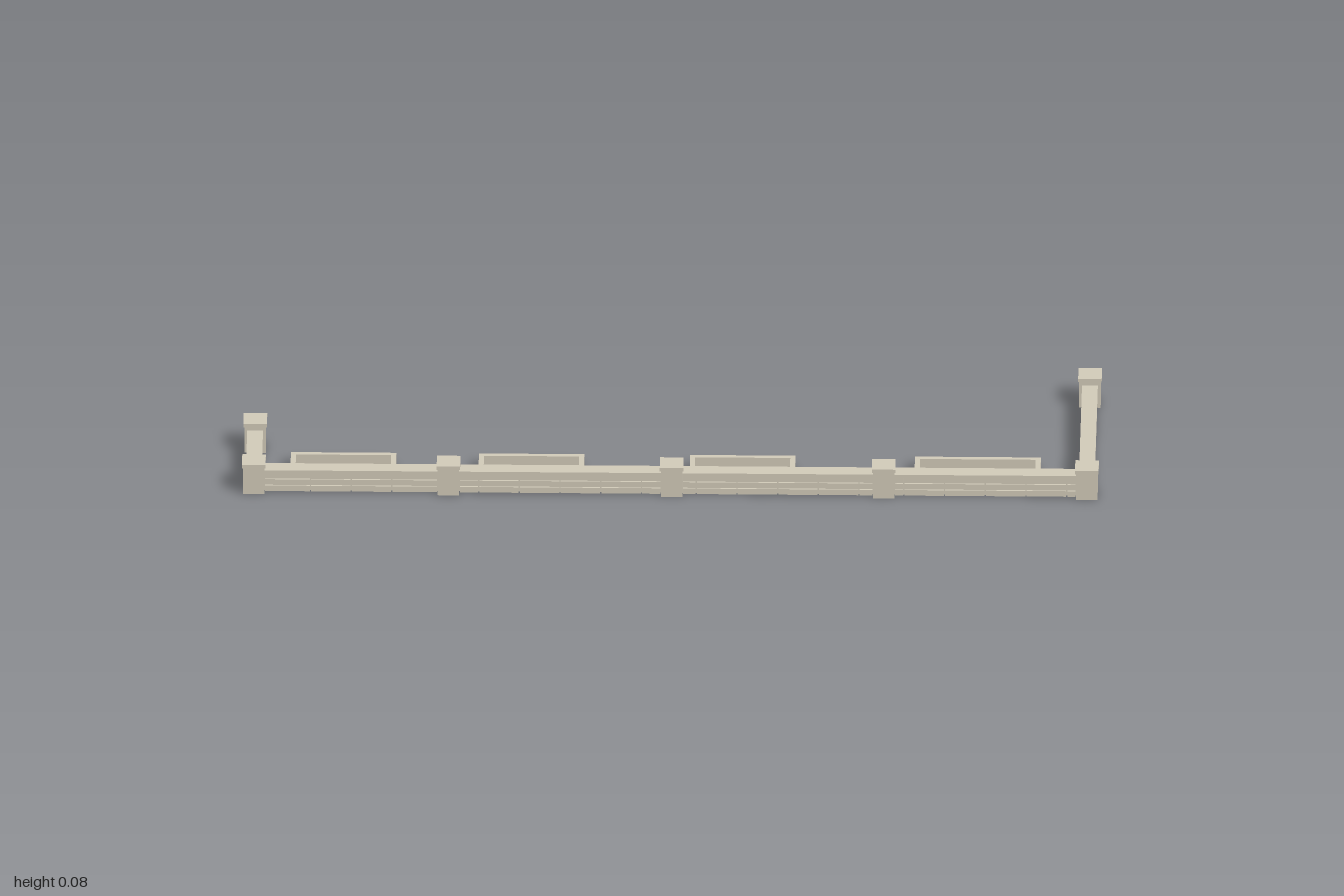
import * as THREE from 'three';

const stone = new THREE.MeshStandardMaterial({ name: 'stone', color: 0xd3ccba });

function box(parent, name, w, h, d, x, y, z) {
  const mesh = new THREE.Mesh(new THREE.BoxGeometry(w, h, d), stone);
  mesh.name = name;
  mesh.position.set(x, y + h / 2, z); // y is the underside
  parent.add(mesh);
}

// Square pillar with a slightly overhanging cap
function pillar(x, z) {
  const g = new THREE.Group();
  g.name = 'pillar';
  box(g, 'pillarShaft', 0.05, 0.068, 0.05, 0, 0, 0);
  box(g, 'pillarCap', 0.055, 0.009, 0.055, 0, 0.068, 0);
  g.position.set(x, 0, z);
  return g;
}

// Low wall along local x: recessed core, three courses of blocks, coping
function wall(length, spacing) {
  const g = new THREE.Group();
  g.name = 'wall';
  box(g, 'wallCore', length, 0.047, 0.023, 0, 0.003, 0);
  box(g, 'coping', length, 0.008, 0.037, 0, 0.05, 0);
  const half = length / 2;
  const joints = [0];
  for (let x = spacing; x < half - 0.015; x += spacing) joints.push(x, -x);
  joints.push(half, -half);
  joints.sort((a, b) => a - b);
  for (let i = 0; i < joints.length - 1; i++) {
    const a = joints[i], b = joints[i + 1];
    for (const y of [0.002, 0.0185, 0.035]) {
      box(g, 'block', b - a - 0.003, 0.0145, 0.031, (a + b) / 2, y, 0);
    }
  }
  return g;
}

// Open rectangular planter border
function planter(x0, x1, z0, z1) {
  const g = new THREE.Group();
  g.name = 'planterBorder';
  const t = 0.012, h = 0.031;
  for (const z of [z0 + t / 2, z1 - t / 2]) {
    box(g, 'longCurb', x1 - x0, h, t, (x0 + x1) / 2, 0, z);
  }
  for (const x of [x0 + t / 2, x1 - t / 2]) {
    box(g, 'shortCurb', t, h, z1 - z0 - 2 * t, x, 0, (z0 + z1) / 2);
  }
  return g;
}

export function createModel() {
  const model = new THREE.Group();
  model.name = 'gardenWall';
  const end = 0.9725, frontZ = 0.234;

  // Front run of pillars and walls
  const xs = [-end, -0.518, 0.003, 0.498, end];
  xs.forEach((x, i) => {
    model.add(pillar(x, frontZ));
    if (i === 0) return;
    const w = wall(x - xs[i - 1] - 0.05, 0.095);
    w.position.set((x + xs[i - 1]) / 2, 0, frontZ - 0.002);
    model.add(w);
  });

  // Side returns: short on one side, long on the other
  for (const [x, z] of [[-end, 0.025], [end, -frontZ]]) {
    model.add(pillar(x, z));
    const w = wall(frontZ - z - 0.05, 0.0785);
    w.rotation.y = Math.PI / 2;
    w.position.set(x, 0, (frontZ + z) / 2);
    model.add(w);
  }

  // Planter borders behind the front wall
  for (const [a, b] of [[-0.888, -0.642], [-0.449, -0.203], [0.044, 0.29], [0.569, 0.863]]) {
    model.add(planter(a, b, 0.105, 0.197));
  }
  return model;
}
